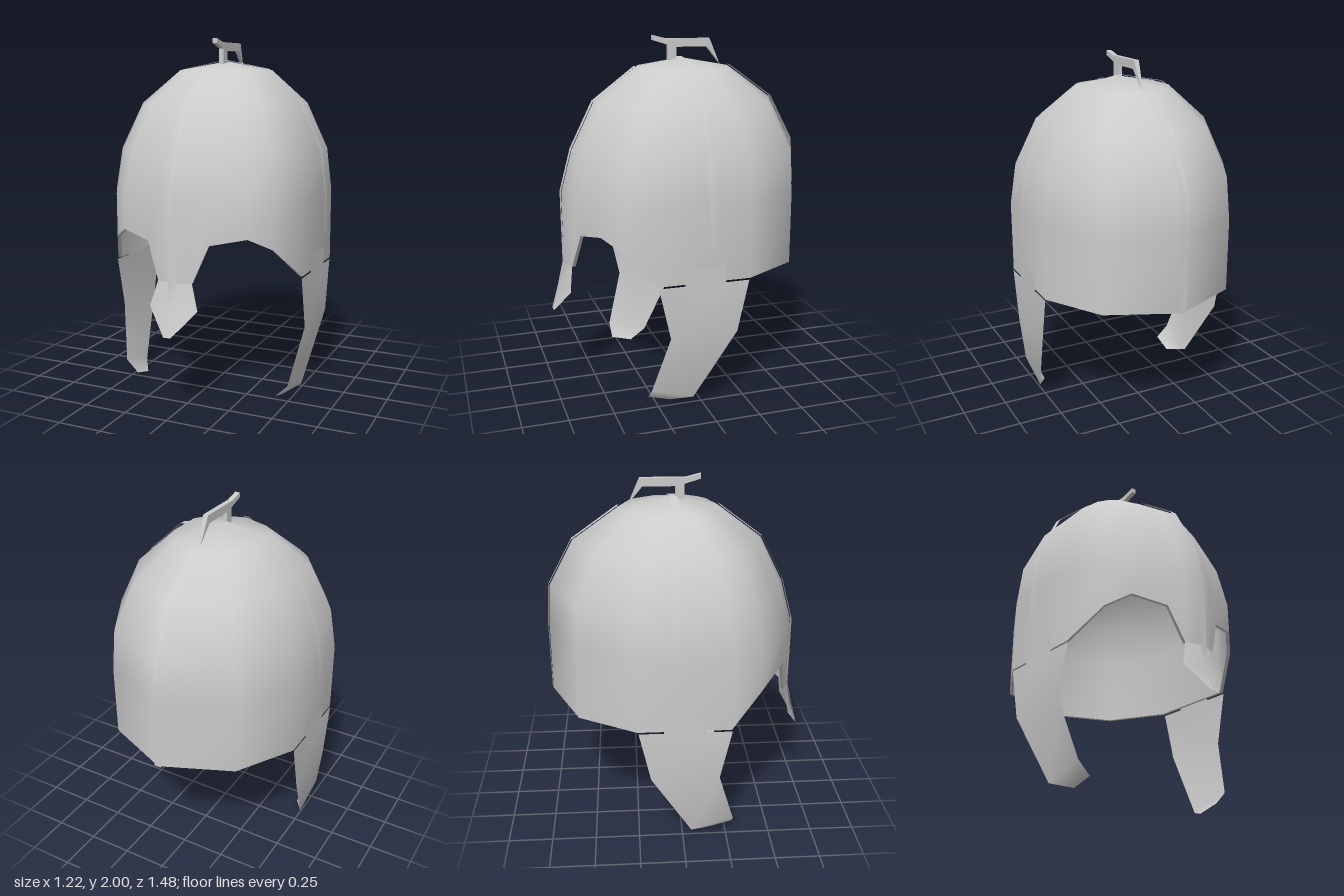
import * as THREE from 'three';
import { mergeVertices } from 'three/addons/utils/BufferGeometryUtils.js';

const material = new THREE.MeshStandardMaterial({ color: 0xcccccc, side: THREE.DoubleSide });

// Smooth sheet through rows of points: rows run upward, points run left to right
function sheet(name, rows) {
  const n = rows[0].length;
  const index = [];
  for (let r = 0; r < rows.length - 1; r++) {
    for (let c = 0; c < n - 1; c++) {
      const a = r * n + c, d = a + n;
      index.push(a, a + 1, d + 1, a, d + 1, d);
    }
  }
  const g = new THREE.BufferGeometry();
  g.setAttribute('position', new THREE.Float32BufferAttribute(rows.flat(2), 3));
  g.setIndex(index);
  const merged = mergeVertices(g, 1e-4);
  merged.computeVertexNormals();
  const mesh = new THREE.Mesh(merged, material);
  mesh.name = name;
  return mesh;
}

const CZ = -0.04; // depth of the crown's axis

// Half outline from brow to nape: x, z, height of the lower edge
const HALF = [
  [0, 0.665, 0.73], [0.1, 0.635, 0.73], [0.18, 0.597, 0.93], [0.365, 0.525, 0.965],
  [0.47, 0.43, 0.9], [0.574, 0.26, 0.73], [0.574, -0.25, 0.73], [0.385, -0.57, 0.73], [0, -0.737, 0.73],
];
const OUTLINE = [...HALF, ...HALF.slice(0, -1).reverse().map(([x, z, y]) => [-x, z, y])];

// Dome levels: y, scale in x, scale forward, scale backward
const LEVELS = [
  [1.14, 1, 1, 1], [1.38, 0.95, 0.908, 0.978], [1.64, 0.757, 0.723, 0.777],
  [1.825, 0.426, 0.376, 0.403], [1.875, 0, 0, 0],
];

function domeRows(k, drop) {
  const scaleZ = (z) => CZ + (z - CZ) * k;
  const rim = OUTLINE.map(([x, z, y]) => [x * k, y, scaleZ(z)]);
  const rings = LEVELS.map(([y, sx, sf, sb]) => OUTLINE.map(([x, z]) =>
    [x * k * sx, y - drop, CZ + (z - CZ) * k * (z > CZ ? sf : sb)]));
  return [rim, ...rings];
}

// Flat strip: a path widened along x or z
function strip(name, path, axis, half) {
  return sheet(name, path.map((p) => [-half, half].map((w) => {
    const q = [...p];
    q[axis] += w;
    return q;
  })));
}

export function createModel() {
  const helmet = new THREE.Group();
  helmet.name = 'helmet';

  // Shell with inner wall and rim
  const outer = domeRows(1, 0), inner = domeRows(0.97, 0.02);
  helmet.add(sheet('outerShell', outer));
  helmet.add(sheet('innerShell', inner.map((row) => [...row].reverse())));
  helmet.add(sheet('rim', [inner[0], outer[0]]));

  // Nose guard, folded along its middle
  helmet.add(sheet('noseGuard', [
    [[-0.022, 0.455, 0.733], [0, 0.455, 0.735], [0.022, 0.455, 0.733]],
    [[-0.14, 0.59, 0.655], [0, 0.59, 0.695], [0.14, 0.59, 0.655]],
    [[-0.1, 0.73, 0.635], [0, 0.73, 0.665], [0.1, 0.73, 0.635]],
  ]));

  // Front and back ribs
  const rise = 0.006;
  const ribs = LEVELS.slice(0, 4);
  helmet.add(strip('frontRib', [
    [0, 0.455, 0.737], [0, 0.59, 0.7], [0, 0.73, 0.668],
    ...ribs.map(([y, , sf]) => [0, y + rise, CZ + 0.705 * sf + rise]),
  ], 0, 0.022));
  helmet.add(strip('backRib', [
    [0, 0.73, -0.74],
    ...ribs.map(([y, , , sb]) => [0, y + rise, CZ - 0.697 * sb - rise]),
  ], 0, 0.022));

  for (const s of [1, -1]) {
    const side = s > 0 ? 'left' : 'right';
    const mirror = (rows) => rows.map((row) => {
      const m = row.map(([x, y, z]) => [s * x, y, z]);
      return s > 0 ? m : m.reverse();
    });

    // Side rib standing slightly off the shell
    const ribPath = [[0.61, 0.925], ...LEVELS.map(([y, sx]) => [0.61 * sx, y + rise])];
    helmet.add(sheet(side + 'Rib', mirror(ribPath.map(([x, y]) => [[x, y, 0], [x, y, -0.045]]))));

    // Cheek guard, its tip bent inward
    helmet.add(sheet(side + 'CheekGuard', mirror([
      [[0.437, 0.04, 0.29], [0.437, 0.005, 0.165]],
      [[0.51, 0.11, 0.29], [0.51, 0.04, 0.05]],
      [[0.574, 0.43, 0.2], [0.574, 0.43, -0.18]],
      [[0.574, 0.72, 0.265], [0.574, 0.72, -0.245]],
    ])));

    // Hinge plate
    helmet.add(sheet(side + 'HingePlate', mirror([
      [[0.58, 0.627, 0.128], [0.58, 0.627, -0.107]],
      [[0.58, 0.818, 0.118], [0.58, 0.818, -0.107]],
    ])));
  }

  // Crest holder: side profile (z, y) extruded across x, narrowing to the back
  const profile = [
    [0.13, 2], [0.05, 1.98], [-0.205, 1.98], [-0.27, 1.835], [-0.19, 1.933],
    [-0.01, 1.933], [-0.01, 1.86], [0.04, 1.86], [0.04, 1.945], [0.13, 1.972],
  ];
  const crestGeometry = new THREE.ExtrudeGeometry(
    new THREE.Shape(profile.map(([z, y]) => new THREE.Vector2(-z, y))),
    { depth: 0.028, bevelEnabled: false },
  );
  crestGeometry.translate(0, 0, -0.014).rotateY(Math.PI / 2);
  const pos = crestGeometry.attributes.position;
  for (let i = 0; i < pos.count; i++) {
    if (pos.getZ(i) < -0.22) pos.setX(i, pos.getX(i) * 0.4);
  }
  crestGeometry.computeVertexNormals();
  const crest = new THREE.Mesh(crestGeometry, material);
  crest.name = 'crestHolder';
  helmet.add(crest);

  return helmet;
}
